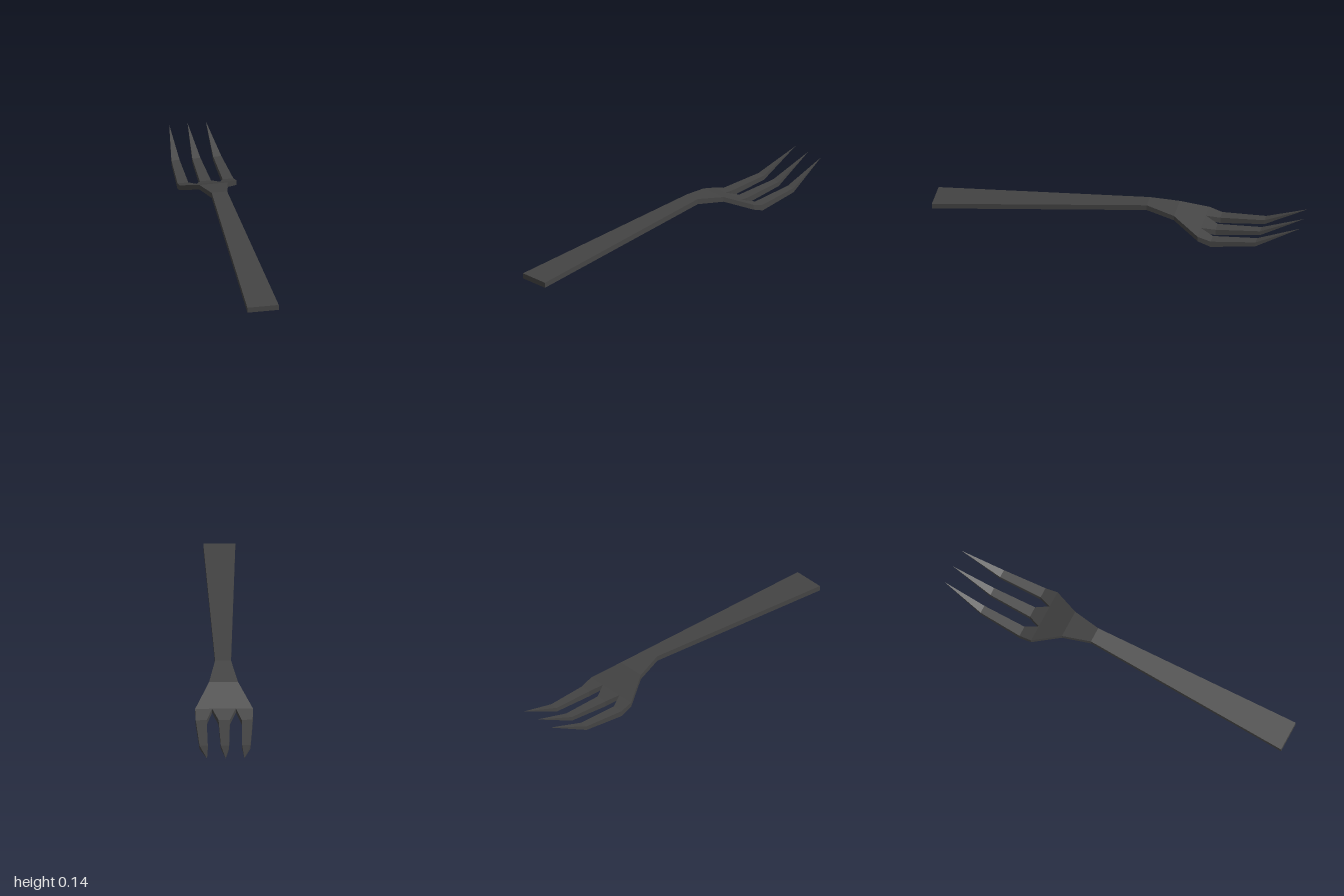
import * as THREE from 'three';

// Height of the top and underside at each bend along the length: z -> [top, bottom]
const bends = {
  '1': [0.031, 0.002], '-0.155': [0.147, 0.117], '-0.31': [0.122, 0.095],
  '-0.455': [0.057, 0.029], '-0.525': [0.035, 0.002], '-0.765': [0.052, 0.028], '-1': [0.147, 0.147],
};

// Faceted bar through sections [z, xLeft, xRight], running from front to back
function bar(sections, capFront) {
  const rings = sections.map(([z, x0, x1]) => {
    const [top, bottom] = bends[String(z)];
    return [[x0, bottom], [x1, bottom], [x1, top], [x0, top]].map(([x, y]) => new THREE.Vector3(x, y, z));
  });
  const points = [];
  const tri = (a, b, c) => {
    const area = b.clone().sub(a).cross(c.clone().sub(a)).length();
    if (area > 1e-8) points.push(a, b, c);
  };
  if (capFront) {
    const [a, b, c, d] = rings[0];
    tri(a, b, c);
    tri(a, c, d);
  }
  for (let k = 0; k < rings.length - 1; k++) {
    const near = rings[k], far = rings[k + 1];
    for (let i = 0; i < 4; i++) {
      const j = (i + 1) % 4;
      tri(near[i], far[i], near[j]);
      tri(near[j], far[i], far[j]);
    }
  }
  const geometry = new THREE.BufferGeometry().setFromPoints(points);
  geometry.computeVertexNormals();
  return geometry;
}

export function createModel() {
  const group = new THREE.Group();
  const metal = new THREE.MeshStandardMaterial({ color: 0x444444 });
  metal.name = 'dark metal';

  const add = (name, sections, capFront = false) => {
    const mesh = new THREE.Mesh(bar(sections, capFront), metal);
    mesh.name = name;
    group.add(mesh);
  };

  // Tapering handle, then the flared head
  add('handle', [[1, -0.085, 0.085], [-0.155, -0.042, 0.042]], true);
  add('head', [[-0.155, -0.042, 0.042], [-0.31, -0.077, 0.077], [-0.455, -0.153, 0.153]]);

  // Tines: pointed slots open where they meet the head
  add('middleTine', [[-0.455, -0.063, 0.063], [-0.525, -0.03, 0.03], [-0.765, -0.022, 0.022], [-1, 0, 0]]);
  const outer = [[-0.455, 0.063, 0.153], [-0.525, 0.093, 0.151], [-0.765, 0.091, 0.135], [-1, 0.099, 0.099]];
  add('leftTine', outer);
  add('rightTine', outer.map(([z, x0, x1]) => [z, -x1, -x0]));

  return group;
}
